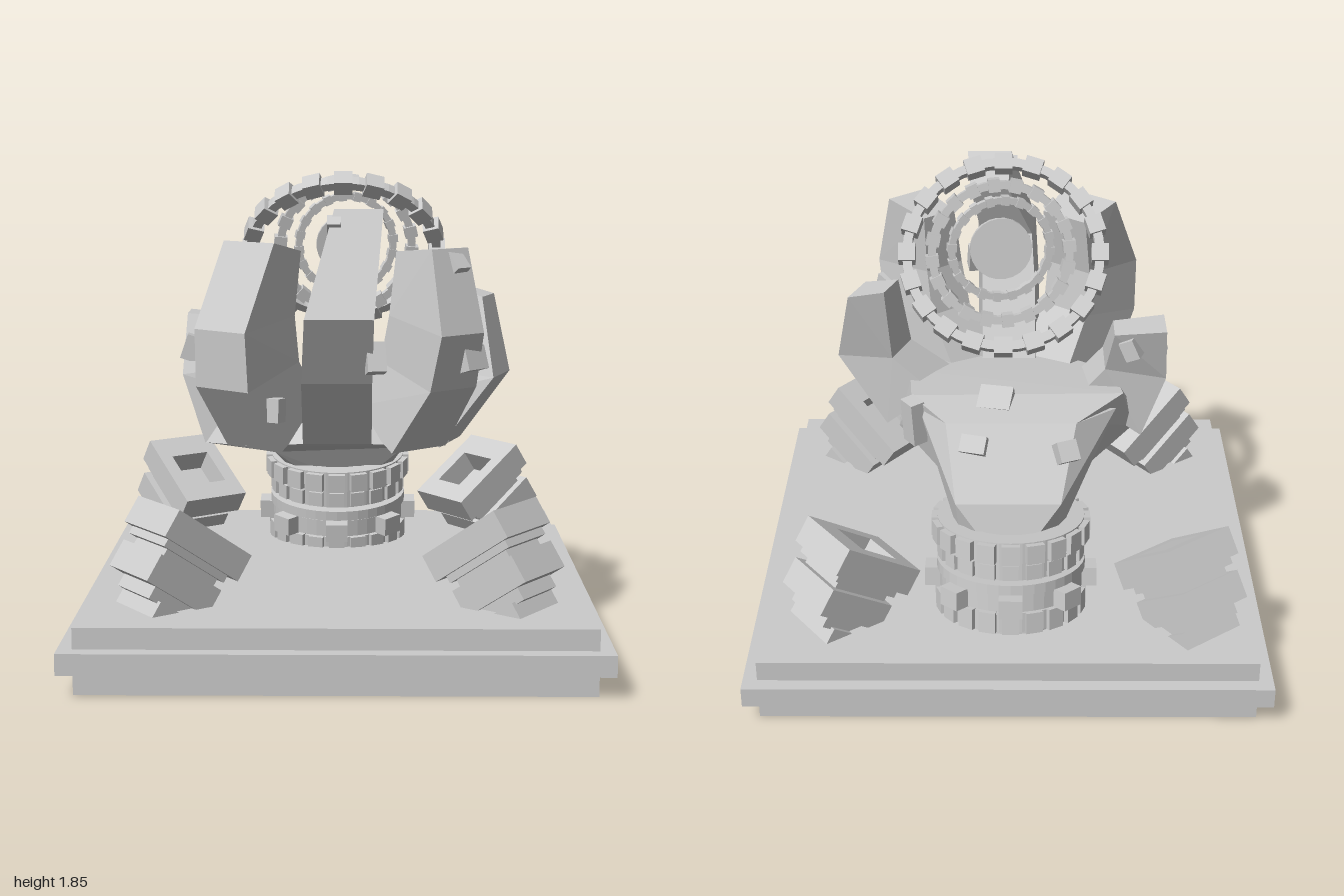
import * as THREE from 'three';
import { ConvexGeometry } from 'three/addons/geometries/ConvexGeometry.js';

const mat = new THREE.MeshStandardMaterial({ color: 0xcccccc, flatShading: true });

function add(parent, name, geo, x = 0, y = 0, z = 0) {
  const m = new THREE.Mesh(geo, mat);
  m.name = name;
  m.position.set(x, y, z);
  parent.add(m);
  return m;
}
const box = (w, h, d) => new THREE.BoxGeometry(w, h, d);
const hull = (pts) => new ConvexGeometry(pts.map((p) => new THREE.Vector3(...p)));

// Flat band around the y axis with evenly spaced blocks on it
function studdedRing(name, inner, outer, height, count, block) {
  const g = new THREE.Group();
  g.name = name;
  const h = height / 2;
  const profile = [[outer, -h], [outer, h], [inner, h], [inner, -h], [outer, -h]];
  add(g, 'band', new THREE.LatheGeometry(profile.map((p) => new THREE.Vector2(...p)), 40));
  for (let i = 0; i < count; i++) {
    const a = (i / count) * Math.PI * 2;
    const r = (inner + outer) / 2;
    add(g, 'block', box(...block), Math.sin(a) * r, 0, Math.cos(a) * r).rotation.y = a;
  }
  return g;
}

// Stepped plinth
function base(root) {
  add(root, 'baseSlab', box(1.89, 0.25, 1.89), 0, 0.135, 0);
  add(root, 'baseBand', box(2, 0.08, 2), 0, 0.14, 0);
}

// Tilted stack of slabs with a recessed top, leaning toward the centre
function cornerBlock(root, x, z, dx, dz) {
  const g = new THREE.Group();
  g.name = 'cornerBlock';
  const rect = (T, w, a, b) => {
    const s = new T();
    s.moveTo(-w, a); s.lineTo(w, a); s.lineTo(w, b); s.lineTo(-w, b); s.closePath();
    return s;
  };
  const top = rect(THREE.Shape, 0.15, 0, 0.38);
  top.holes.push(rect(THREE.Path, 0.09, 0.11, 0.29));
  const geo = new THREE.ExtrudeGeometry(top, { depth: 0.11, bevelEnabled: false });
  add(g, 'recessedTop', geo.rotateX(Math.PI / 2));
  // width, top, bottom, outer end, inner end
  for (const [w, t, b, o, i] of [
    [0.26, -0.1, -0.14, 0.03, 0.34], [0.22, -0.13, -0.18, 0.06, 0.32],
    [0.28, -0.17, -0.28, 0.03, 0.34], [0.23, -0.27, -0.33, 0.09, 0.33],
    [0.27, -0.32, -0.44, 0.13, 0.33],
  ]) add(g, 'slab', box(w, t - b, i - o), 0, (t + b) / 2, (o + i) / 2);
  g.position.set(x, 0.65, z);
  g.rotation.set(0.61, Math.atan2(dx, dz), 0, 'YXZ');
  root.add(g);
}

// Stacked studded bands around the wrist
function bracelet(root) {
  const g = new THREE.Group();
  g.name = 'bracelet';
  const tiers = [
    [0.58, 0.22, 0.285, 0.085, 20, [0.07, 0.075, 0.11]],
    [0.5, 0.2, 0.275, 0.07, 20, [0.06, 0.06, 0.1]],
    [0.43, 0.2, 0.29, 0.04, 0, null],
    [0.37, 0.24, 0.28, 0.07, 8, [0.09, 0.075, 0.15]],
    [0.29, 0.2, 0.28, 0.08, 20, [0.065, 0.085, 0.11]],
  ];
  for (const [y, ...ring] of tiers) {
    const r = studdedRing('braceletTier', ...ring);
    r.position.y = y - 0.45;
    g.add(r);
  }
  add(g, 'core', new THREE.CylinderGeometry(0.24, 0.24, 0.32, 24), 0, -0.07, 0);
  g.position.set(-0.01, 0.46, -0.5);
  g.rotation.x = 0.14;
  root.add(g);
}

// Faceted palm and wrist
function palm(root) {
  add(root, 'palm', hull([
    [-0.13, 0.84, 0.47], [0.13, 0.84, 0.47], [-0.35, 0.82, 0.4], [0.33, 0.82, 0.4],
    [-0.53, 0.78, 0.12], [0.44, 0.79, 0.15], [-0.5, 0.8, -0.08], [0.44, 0.8, -0.08],
    [-0.27, 0.67, -0.25], [0.27, 0.69, -0.25], [-0.13, 0.94, 0.33], [0.13, 0.94, 0.33],
    [-0.42, 0.98, 0.05], [0.4, 0.98, 0.05], [-0.45, 1.01, -0.2], [0.38, 1.01, -0.22],
    [-0.26, 0.99, -0.41], [0.24, 0.99, -0.41],
  ]));
  const pts = [
    [-0.27, 0.67, -0.25], [0.27, 0.69, -0.25], [-0.42, 0.97, -0.25], [0.35, 0.97, -0.25],
    [-0.26, 0.99, -0.41], [0.24, 0.99, -0.41], [-0.2, 0.75, -0.61], [0.2, 0.75, -0.61],
  ];
  for (let i = 0; i < 8; i++) {
    const a = ((i + 0.5) / 8) * Math.PI * 2;
    pts.push([Math.cos(a) * 0.2, 0.55 - Math.sin(a) * 0.04, -0.5 + Math.sin(a) * 0.17]);
  }
  add(root, 'wrist', hull(pts));
}

// Finger sections: outer radius, outer y, inner radius, inner y, width, sideways shift
const MIDDLE = [
  [0.47, 0.84, 0.2, 0.95, 0.26, 0], [0.66, 1.1, 0.36, 1.2, 0.26, 0],
  [0.8, 1.35, 0.48, 1.4, 0.25, 0.01], [0.57, 1.73, 0.38, 1.64, 0.18, 0.08],
];
const LEFT = [
  [0.52, 0.81, 0.25, 0.95, 0.27, -0.02], [0.69, 1.06, 0.38, 1.14, 0.23, 0],
  [0.74, 1.27, 0.42, 1.32, 0.21, 0], [0.63, 1.58, 0.41, 1.56, 0.18, 0.03],
];
const RIGHT = [
  [0.52, 0.81, 0.25, 0.95, 0.27, 0], [0.7, 1.06, 0.38, 1.14, 0.26, 0],
  [0.71, 1.28, 0.4, 1.32, 0.25, 0], [0.53, 1.6, 0.35, 1.56, 0.25, -0.01],
];
const OUTER = [
  [0.45, 0.78, 0.25, 0.95, 0.27, 0.07], [0.65, 1.06, 0.42, 1.08, 0.22, 0.11],
  [0.56, 1.36, 0.41, 1.4, 0.16, 0.21],
];
const THUMB = [
  [0.53, 0.78, 0.28, 0.95, 0.25, 0], [0.62, 1.05, 0.38, 1.08, 0.24, -0.03],
  [0.61, 1.28, 0.41, 1.26, 0.16, -0.13],
];
function finger(root, name, azimuth, sections) {
  const g = new THREE.Group();
  g.name = name;
  const corners = ([ro, yo, ri, yi, w, s]) => [
    [s - w / 2, yo, ro], [s + w / 2, yo, ro], [s - w * 0.42, yi, ri], [s + w * 0.42, yi, ri],
  ];
  for (let i = 0; i + 1 < sections.length; i++)
    add(g, 'fingerSegment', hull([...corners(sections[i]), ...corners(sections[i + 1])]));
  g.rotation.y = azimuth;
  root.add(g);
}

// Small armour plates, turned to face away from the middle of the hand
function plates(root) {
  // x, y, z, width, height
  const list = [
    [-0.25, 0.98, 0.52, 0.1, 0.09], [0.14, 1.2, 0.7, 0.07, 0.11], [0.5, 1.17, 0.5, 0.11, 0.09],
    [0.44, 1.52, 0.46, 0.07, 0.08], [-0.01, 1.67, 0.58, 0.05, 0.05],
    [-0.59, 1.15, 0.02, 0.08, 0.1], [-0.48, 1.2, -0.18, 0.08, 0.08],
    [-0.22, 0.91, -0.49, 0.08, 0.08], [0.13, 0.92, -0.46, 0.1, 0.07],
    [0.37, 0.92, -0.26, 0.08, 0.18], [0.05, 1, -0.25, 0.13, 0.11],
  ];
  for (const [x, y, z, w, h] of list) {
    const m = add(root, 'plate', box(w, h, 0.06), x, y, z);
    m.lookAt(x * 2, 2 * y - 1.1 + (z < -0.2 && x < 0.3 ? 0.6 : 0.15), z * 2);
  }
}

// Nested rings floating above the palm
function orb(root) {
  const up = new THREE.Vector3(0, 1, 0);
  const place = (obj, pos, n) => {
    obj.position.set(...pos);
    obj.quaternion.setFromUnitVectors(up, new THREE.Vector3(...n).normalize());
    root.add(obj);
  };
  place(studdedRing('outerRing', 0.355, 0.39, 0.04, 20, [0.07, 0.065, 0.065]),
    [0.02, 1.535, -0.045], [0, 0.67, -0.74]);
  place(studdedRing('middleRing', 0.25, 0.28, 0.03, 20, [0.045, 0.05, 0.05]),
    [0.03, 1.55, -0.07], [0.08, -0.2, 0.97]);
  place(studdedRing('innerRing', 0.18, 0.205, 0.025, 20, [0.03, 0.035, 0.035]),
    [0.03, 1.56, -0.05], [0.2, -0.1, 0.95]);
  const disc = add(root, 'coreDisc', new THREE.CylinderGeometry(0.12, 0.12, 0.02, 24));
  place(disc, [0.03, 1.56, -0.05], [0.1, -0.15, 0.97]);
}

export function createModel() {
  const root = new THREE.Group();
  root.name = 'handSculpture';
  base(root);
  cornerBlock(root, 0.68, -0.65, -0.8, 0.6);
  cornerBlock(root, 0.66, 0.64, -0.8, -0.6);
  cornerBlock(root, -0.66, 0.64, 0.8, -0.6);
  cornerBlock(root, -0.72, -0.69, 0.6, 0.8);
  bracelet(root);
  palm(root);
  finger(root, 'middleFinger', 0, MIDDLE);
  finger(root, 'leftFinger', 0.68, LEFT);
  finger(root, 'rightFinger', -0.66, RIGHT);
  finger(root, 'outerFinger', 1.2, OUTER);
  finger(root, 'thumb', -Math.PI / 2, THUMB);
  plates(root);
  orb(root);
  return root;
}
